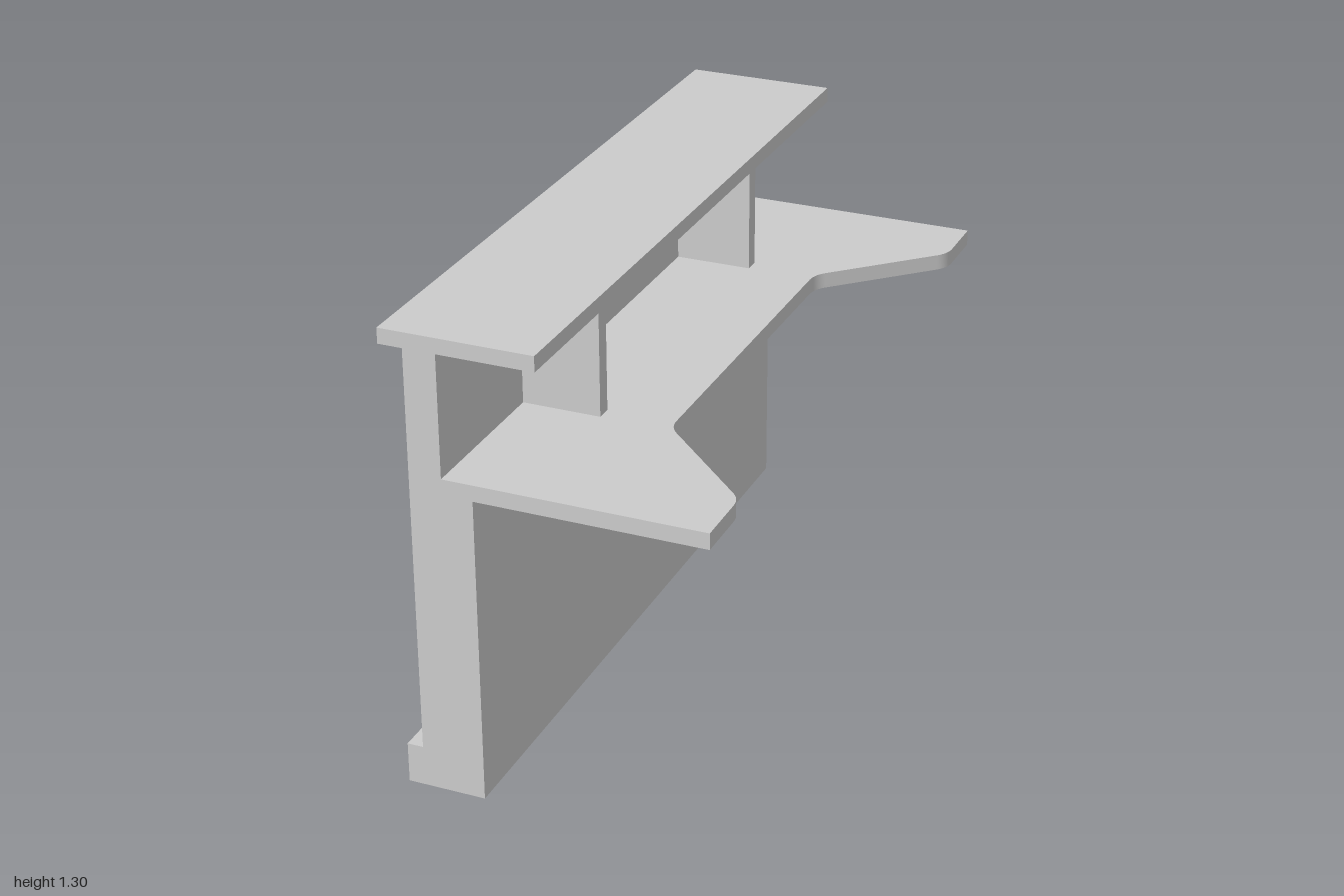
import * as THREE from 'three';
import { toCreasedNormals } from 'three/addons/utils/BufferGeometryUtils.js';

const material = new THREE.MeshStandardMaterial({ color: 0xcccccc });

function addMesh(parent, name, geometry) {
  const mesh = new THREE.Mesh(geometry, material);
  mesh.name = name;
  parent.add(mesh);
  return mesh;
}

// Box given by its minimum and maximum corners
function boxBetween(x0, y0, z0, x1, y1, z1) {
  return new THREE.BoxGeometry(x1 - x0, y1 - y0, z1 - z0)
    .translate((x0 + x1) / 2, (y0 + y1) / 2, (z0 + z1) / 2);
}

// Corners of a rectangle, counter-clockwise
const rectangle = (cu, cv, hw, hh) =>
  [[-1, -1], [1, -1], [1, 1], [-1, 1]].map(([a, b]) => new THREE.Vector2(cu + a * hw, cv + b * hh));

// Rectangular panel bordered by a rounded groove, facing +z
function groovedPanel(cu, cv, hw, hh, groove, depth) {
  const steps = 6, rings = [], positions = [];
  for (let i = 0; i <= steps; i++) {
    const inset = groove * i / steps;
    const z = -depth * Math.sin(Math.PI * i / steps);
    rings.push(rectangle(cu, cv, hw - inset, hh - inset).map(p => [p.x, p.y, z]));
  }
  const quad = (a, b, c, d) => positions.push(...a, ...b, ...c, ...a, ...c, ...d);
  for (let i = 0; i < steps; i++) {
    for (let k = 0; k < 4; k++) {
      const n = (k + 1) % 4;
      quad(rings[i][k], rings[i][n], rings[i + 1][n], rings[i + 1][k]);
    }
  }
  quad(...rings[steps]);
  const geometry = new THREE.BufferGeometry();
  geometry.setAttribute('position', new THREE.Float32BufferAttribute(positions, 3));
  geometry.computeVertexNormals();
  return toCreasedNormals(geometry, 0.7);
}

export function createModel() {
  const group = new THREE.Group();
  group.name = 'receptionCounter';

  // Body with plinth and upstand, as one profile run along z
  const profile = new THREE.Shape([
    [-0.415, 0], [-0.195, 0], [-0.195, 0.875], [-0.28, 0.875],
    [-0.28, 1.26], [-0.345, 1.26], [-0.345, 0.115], [-0.415, 0.115],
  ].map(([x, y]) => new THREE.Vector2(x, y)));
  addMesh(group, 'body', new THREE.ExtrudeGeometry(profile, { depth: 2, bevelEnabled: false })
    .translate(0, 0, -1));

  // Facing: frame with three openings, each filled by a grooved panel
  const thickness = 0.025, panelY = 0.693, halfW = 0.266, halfH = 0.483;
  const facing = new THREE.Group();
  facing.name = 'panelledFacing';
  facing.rotation.y = -Math.PI / 2;
  facing.position.x = -0.345;
  group.add(facing);
  const frame = new THREE.Shape(rectangle(0, 0.6875, 1, 0.5725));
  for (const u of [-0.643, 0, 0.643]) {
    frame.holes.push(new THREE.Path(rectangle(u, panelY, halfW, halfH).reverse()));
    addMesh(facing, 'panel', groovedPanel(u, panelY, halfW, halfH, 0.055, 0.02)
      .translate(0, 0, thickness));
  }
  addMesh(facing, 'frame', new THREE.ExtrudeGeometry(frame, { depth: thickness, bevelEnabled: false }));

  // Worktop with a shallow middle and deep wings, corners eased
  const top = new THREE.Shape();
  top.moveTo(-0.28, -1);
  top.lineTo(0.435, -1);
  top.lineTo(0.435, -0.85);
  top.quadraticCurveTo(0.435, -0.815, 0.41, -0.79);
  top.lineTo(0.155, -0.545);
  top.quadraticCurveTo(0.13, -0.52, 0.13, -0.485);
  top.lineTo(0.13, 0.485);
  top.quadraticCurveTo(0.13, 0.52, 0.155, 0.545);
  top.lineTo(0.41, 0.79);
  top.quadraticCurveTo(0.435, 0.815, 0.435, 0.85);
  top.lineTo(0.435, 1);
  top.lineTo(-0.28, 1);
  top.closePath();
  const worktop = new THREE.ExtrudeGeometry(top, { depth: 0.045, bevelEnabled: false, curveSegments: 6 })
    .rotateX(-Math.PI / 2).translate(0, 0.875, 0);
  addMesh(group, 'worktop', toCreasedNormals(worktop, 0.6));

  // Brackets carrying the raised ledge
  for (const z of [-0.515, 0.515]) {
    addMesh(group, 'bracket', boxBetween(-0.28, 0.92, z - 0.022, -0.06, 1.26, z + 0.022));
  }

  // Raised ledge
  addMesh(group, 'ledge', boxBetween(-0.437, 1.26, -1, -0.015, 1.303, 1));

  return group;
}
